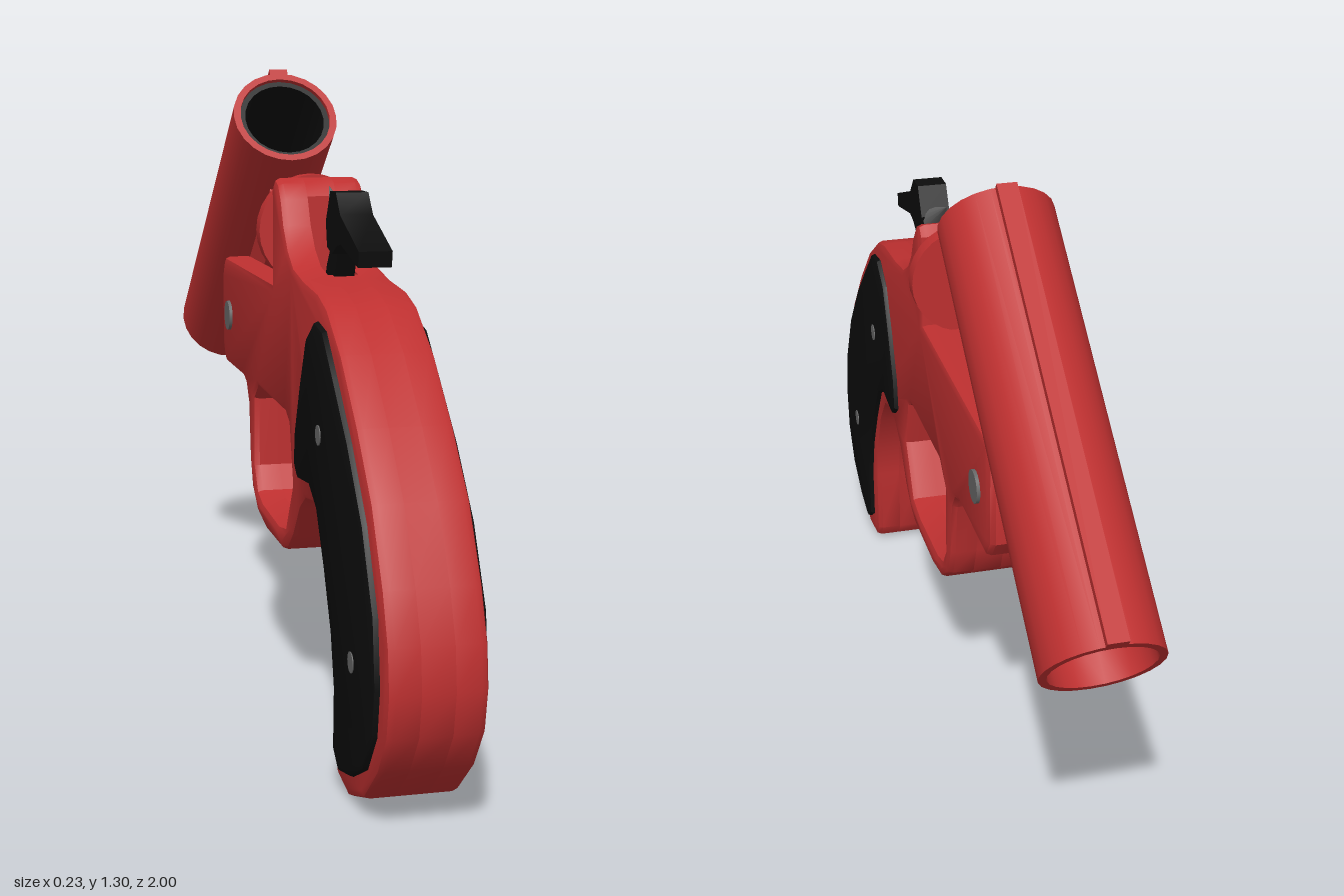
import * as THREE from 'three';
import { toCreasedNormals } from 'three/addons/utils/BufferGeometryUtils.js';

const mat = (name, color) => Object.assign(new THREE.MeshStandardMaterial({ color }), { name });

// Extrudes a side outline of [z, y] points from x = x0 away towards the given side (+1 or -1).
// The inner face stays flat; only the outer rim is bevelled.
function sideExtrude(points, { holes = [], depth, bevel = 0, side = 1, x0 = 0 }) {
  const pts = (list) => list.map(([z, y]) => new THREE.Vector2(-side * z, y));
  const shape = new THREE.Shape(pts(points));
  shape.holes = holes.map((h) => new THREE.Path(pts(h)));
  const geo = new THREE.ExtrudeGeometry(shape, {
    depth: depth - bevel, bevelEnabled: bevel > 0, bevelThickness: bevel,
    bevelSize: bevel, bevelOffset: -bevel, bevelSegments: 2,
  });
  const p = geo.attributes.position;
  for (let i = 0; i < p.count; i++) p.setZ(i, Math.max(0, p.getZ(i)));
  geo.rotateY(side * Math.PI / 2).translate(x0, 0, 0);
  return toCreasedNormals(geo, 0.6);
}

// Outline pieces shared by the frame's cheeks and core
const HUMP = [[0.08, 0.86], [0.08, 1.06], [0.1, 1.08], [0.13, 1.07]];
const HUMP_BACK = [[0.155, 1.04], [0.18, 0.99], [0.22, 0.945], [0.27, 0.915]];
const GRIP_AND_GUARD = [
  [0.36, 0.9], [0.48, 0.89], [0.55, 0.87], [0.66, 0.8], [0.78, 0.69], [0.88, 0.58],
  [0.955, 0.45], [0.99, 0.36], [1, 0.28], [0.985, 0.2], [0.93, 0.12], [0.84, 0.04],
  [0.73, 0], [0.655, 0.01], [0.635, 0.04], [0.635, 0.2], [0.62, 0.28], [0.57, 0.39],
  [0.51, 0.46], [0.45, 0.48], [0.38, 0.47], [0.33, 0.44], [0.27, 0.37], [0.22, 0.33],
  [0.17, 0.315], [0, 0.315], [-0.08, 0.33], [-0.14, 0.375], [-0.165, 0.44],
  [-0.18, 0.56], [-0.205, 0.595], [-0.25, 0.61],
];
const NOSE = [[-0.46, 0.61], [-0.49, 0.65], [-0.49, 0.82], [-0.465, 0.86]];
const GUARD_HOLE = [
  [0.24, 0.59], [0.2, 0.61], [-0.08, 0.615], [-0.125, 0.58], [-0.125, 0.43],
  [-0.09, 0.38], [-0.04, 0.365], [0.13, 0.358], [0.2, 0.37], [0.27, 0.48],
];
const GRIP_PANEL = [
  [0.505, 0.84], [0.57, 0.83], [0.65, 0.76], [0.76, 0.66], [0.865, 0.54], [0.94, 0.4],
  [0.955, 0.28], [0.94, 0.19], [0.88, 0.11], [0.785, 0.06], [0.705, 0.04], [0.665, 0.07],
  [0.67, 0.19], [0.645, 0.285], [0.59, 0.39], [0.53, 0.485], [0.465, 0.52], [0.365, 0.51],
  [0.335, 0.535], [0.345, 0.605], [0.39, 0.705], [0.44, 0.8],
];
const TRIGGER = [
  [0.12, 0.63], [0.15, 0.55], [0.16, 0.5], [0.14, 0.445], [0.11, 0.43],
  [0.125, 0.475], [0.13, 0.52], [0.085, 0.63],
];
const HAMMER_HEAD = [
  [0.575, 0.975], [0.435, 1.03], [0.4, 1.07], [0.355, 1.07], [0.32, 1.01],
  [0.33, 0.96], [0.37, 0.95], [0.41, 0.97], [0.44, 0.975], [0.57, 0.945],
];
const HAMMER_ARM = [[0.38, 0.98], [0.33, 0.98], [0.28, 0.92], [0.25, 0.86], [0.31, 0.86], [0.34, 0.9]];

export function createModel() {
  const red = mat('red paint', 0xbe3030);
  const black = mat('black plastic', 0x0d0d0d);
  const steel = mat('grey steel', 0x686868);
  const model = new THREE.Group();
  model.name = 'flarePistol';

  const add = (name, geo, material, parent = model) => {
    const mesh = new THREE.Mesh(geo, material);
    mesh.name = name;
    parent.add(mesh);
    return mesh;
  };
  const box = (name, w, y0, y1, z0, z1, material, parent) =>
    add(name, new THREE.BoxGeometry(w, y1 - y0, z1 - z0)
      .translate(0, (y0 + y1) / 2, (z0 + z1) / 2), material, parent);
  // Pin running across the width
  const pin = (name, r, halfWidth, z, y) =>
    add(name, new THREE.CylinderGeometry(r, r, halfWidth * 2, 16)
      .rotateZ(Math.PI / 2).translate(0, y, z), steel);

  // Frame: a core with hammer and hinge slots, between two bevelled cheeks
  const core = [
    ...HUMP, [0.15, 1.045], [0.15, 0.85], [0.33, 0.85], [0.33, 0.905], ...GRIP_AND_GUARD,
    [-0.2, 0.66], [-0.05, 0.7], [-0.05, 0.86],
  ];
  add('frameCore', sideExtrude(core, { holes: [GUARD_HOLE], depth: 0.06, x0: -0.03 }), red);
  const cheek = [...HUMP, ...HUMP_BACK, ...GRIP_AND_GUARD, ...NOSE];
  for (const side of [1, -1]) {
    const label = side > 0 ? 'left' : 'right';
    add(label + 'FrameCheek', sideExtrude(cheek, {
      holes: [GUARD_HOLE], depth: 0.06, bevel: 0.015, side, x0: side * 0.03,
    }), red);
    add(label + 'GripPanel', sideExtrude(GRIP_PANEL, {
      depth: 0.022, bevel: 0.01, side, x0: side * 0.08,
    }), black);
  }

  // Breech plate
  add('breechPlate', toCreasedNormals(new THREE.CylinderGeometry(0.115, 0.115, 0.035, 28)
    .rotateX(Math.PI / 2).translate(0, 0.97, 0.0625), 0.6), red);

  // Pins and screws
  pin('hingePin', 0.034, 0.097, -0.395, 0.73);
  pin('upperGripScrew', 0.019, 0.104, 0.555, 0.635);
  pin('lowerGripScrew', 0.019, 0.104, 0.805, 0.28);

  // Trigger, hammer and striker
  add('trigger', sideExtrude(TRIGGER, { depth: 0.05, x0: -0.025 }), black);
  add('hammerHead', sideExtrude(HAMMER_HEAD, { depth: 0.064, x0: -0.032 }), black);
  add('hammerArm', sideExtrude(HAMMER_ARM, { depth: 0.04, x0: -0.02 }), black);
  const striker = add('striker', new THREE.ConeGeometry(0.028, 0.13, 12), steel);
  striker.position.set(0, 1.035, 0.27);
  striker.rotation.x = -1.0;

  // Barrel, tipped open: local -z runs towards the muzzle
  const barrel = new THREE.Group();
  barrel.name = 'barrel';
  barrel.position.set(0, 1.195, -0.195);
  barrel.rotation.x = -0.641;
  model.add(barrel);
  const L = 0.911;
  const tube = (profile) => toCreasedNormals(new THREE.LatheGeometry(
    profile.map(([r, y]) => new THREE.Vector2(r, y)), 24).rotateX(-Math.PI / 2), 0.6);
  add('barrelTube', tube([[0.1, 0.012], [0.1, 0], [0.115, 0], [0.115, L], [0.1, L], [0.1, L - 0.06]]), red, barrel);
  add('barrelLiner', tube([[0.1, L - 0.06], [0.088, L - 0.06], [0.088, 0.01], [0.1, 0.01]]), black, barrel);
  box('sightRib', 0.04, 0.108, 0.127, -L, 0, red, barrel);
  box('hingeLug', 0.058, -0.212, -0.106, -0.57, -0.12, red, barrel);
  box('latchNeck', 0.04, -0.19, -0.14, -0.125, -0.1, steel, barrel);
  box('latch', 0.058, -0.205, -0.135, -0.11, -0.085, steel, barrel);

  return model;
}
